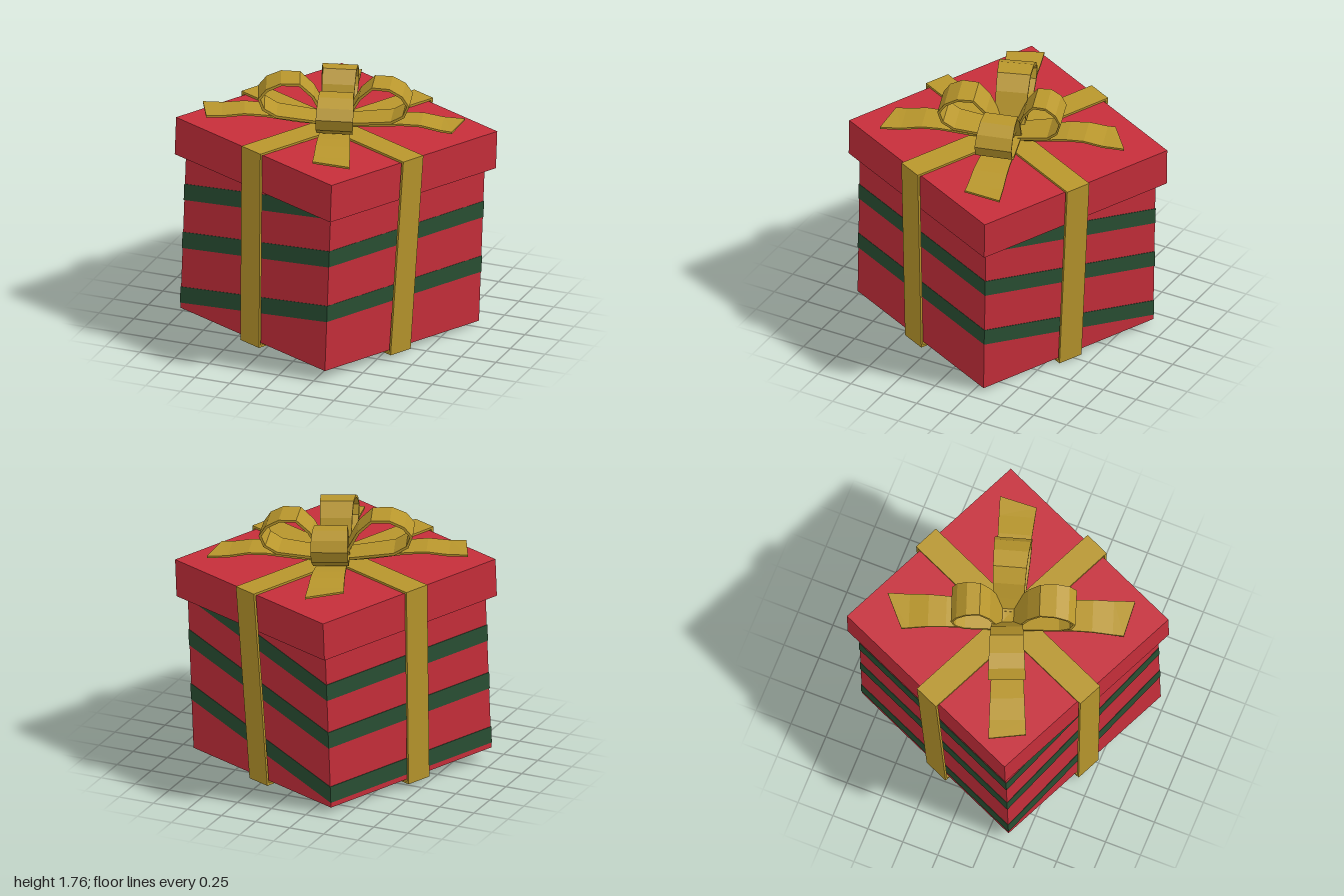
import * as THREE from 'three';

const paint = (color) => new THREE.MeshStandardMaterial({ color, flatShading: true, side: THREE.DoubleSide });
const red = paint(0xc62e3a), green = paint(0x294f33), gold = paint(0xb8962c);

function part(parent, name, geometry, material, x = 0, y = 0, z = 0) {
  const mesh = new THREE.Mesh(geometry, material);
  mesh.name = name;
  mesh.position.set(x, y, z);
  parent.add(mesh);
  return mesh;
}

// Moves every vertex by a rule
function bend(geometry, rule) {
  const p = geometry.attributes.position, v = new THREE.Vector3();
  for (let i = 0; i < p.count; i++) {
    rule(v.fromBufferAttribute(p, i));
    p.setXYZ(i, v.x, v.y, v.z);
  }
  geometry.computeVertexNormals();
  return geometry;
}

function extrude(shape, depth) {
  return new THREE.ExtrudeGeometry(shape, { depth, bevelEnabled: false }).translate(0, 0, -depth / 2);
}

// Thin strip following a side-view path, one unit wide
function strip(points, thickness) {
  const path = points.map(([x, y]) => new THREE.Vector2(x, y));
  const offset = path.map((p, i) => {
    const a = path[Math.max(i - 1, 0)], b = path[Math.min(i + 1, path.length - 1)];
    const d = b.clone().sub(a).normalize();
    return new THREE.Vector2(p.x - d.y * thickness, p.y + d.x * thickness);
  });
  return extrude(new THREE.Shape([...path, ...offset.reverse()]), 1);
}

// Band around box and lid, slanting in towards the base
function band() {
  const outline = (bottom, top, y0, y1) => [[-bottom, y0], [bottom, y0], [top, y1], [-top, y1]]
    .map(([x, y]) => new THREE.Vector2(x, y));
  const shape = new THREE.Shape(outline(0.733, 0.787, -0.024, 1.383));
  shape.holes.push(new THREE.Path(outline(0.718, 0.769, -0.008, 1.368)));
  return extrude(shape, 0.182);
}

const loopPath = [[0.03, 0.03], [0.38, 0.075], [0.47, 0.13], [0.5, 0.21], [0.45, 0.28],
  [0.36, 0.325], [0.24, 0.325], [0.15, 0.24], [0.09, 0.13], [0.04, 0.04]];
const tailPath = [[0, 0.025], [0.25, 0.04], [0.45, 0.065], [0.58, 0.068], [0.72, 0.045], [0.83, 0.04]];

export function createModel() {
  const model = new THREE.Group();
  model.name = 'giftBox';

  // The whole box is turned and leans a little
  const gift = new THREE.Group();
  gift.name = 'tiltedGift';
  const up = new THREE.Vector3(0, 1, 0);
  gift.quaternion.setFromUnitVectors(up, new THREE.Vector3(0.0247, 1, -0.0296).normalize())
    .multiply(new THREE.Quaternion().setFromAxisAngle(up, -0.424));
  gift.position.set(-0.033, 0.052, 0.04);
  model.add(gift);

  // Box and lid
  part(gift, 'box', new THREE.BoxGeometry(1.404, 1.12, 1.404), red, 0, 0.56, 0);
  part(gift, 'lid', new THREE.BoxGeometry(1.51, 0.265, 1.51), red, 0, 1.2325, 0);

  // Slanted stripes, the highest running up into the lid
  for (const y of [0.252, 0.645, 0.99]) {
    const stripe = bend(new THREE.BoxGeometry(1.41, 0.115, 1.41), (v) => { v.y += 0.225 * v.x; });
    part(gift, 'stripe', stripe, green, 0, y, 0);
  }

  // Crossed ribbon bands
  part(gift, 'sideBand', band(), gold, 0, 0, 0.04);
  part(gift, 'frontBand', band(), gold, 0.005, 0.001, 0).rotation.y = Math.PI / 2;

  // Bow: four loops, each with a tail beneath it
  const bow = new THREE.Group();
  bow.name = 'bow';
  bow.position.y = 1.365;
  gift.add(bow);
  const arms = [
    { angle: -41, loop: 0.49, tail: 0.81, skew: -0.25, lift: 0 },
    { angle: 46, loop: 0.46, tail: 0.81, skew: -0.27, lift: -0.01 },
    { angle: 134, loop: 0.53, tail: 0.88, skew: 0.1, lift: 0.025 },
    { angle: 226, loop: 0.37, tail: 0.75, skew: 0.4, lift: 0.02 },
  ];
  for (const { angle, loop, tail, skew, lift } of arms) {
    const arm = new THREE.Group();
    arm.name = 'bowArm';
    arm.rotation.y = -THREE.MathUtils.degToRad(angle);
    bow.add(arm);

    part(arm, 'bowLoop', bend(strip(loopPath, 0.018), (v) => {
      v.z *= 0.2 + 0.1 * Math.max(v.x, 0);
      v.x *= loop / 0.5;
    }), gold);

    // Tails widen outwards and end in a slanted cut
    part(arm, 'bowTail', bend(strip(tailPath, 0.014), (v) => {
      const t = v.x / 0.83;
      v.z *= 0.18 + 0.07 * t;
      v.y += lift * t;
      v.x = t * tail + (t > 0.95 ? skew * v.z : 0);
    }), gold);
  }
  return model;
}
